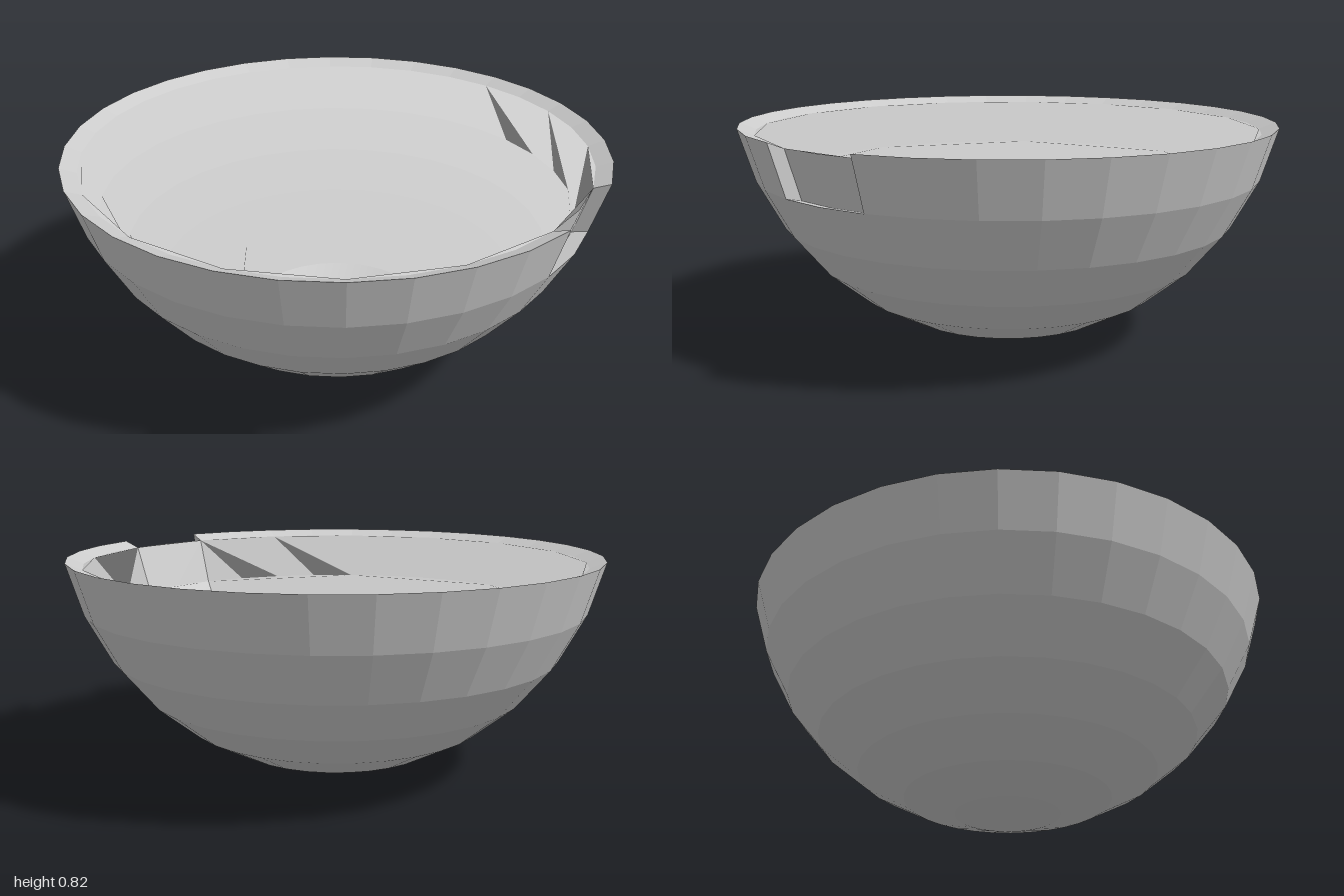
import * as THREE from 'three';

const SEG = 32, STEP = (2 * Math.PI) / SEG;      // columns around the bowl
const R = 1 / Math.sin(7 * STEP);                // sphere radius giving a rim radius of 1
const HALF = (R * (1 - Math.cos(7 * STEP))) / 2; // half the bowl's height
const INNER = 0.94;                              // inner wall is the outer one, scaled
const NOTCH_A = 1, NOTCH_B = 3;                  // columns the notch lies between

const flat = new THREE.MeshStandardMaterial({ color: 0xcccccc, flatShading: true, side: THREE.DoubleSide });
const smooth = new THREE.MeshStandardMaterial({ color: 0xcccccc, side: THREE.DoubleSide });

// profile points (radius, height) on ring k, counted up from the bottom
const outer = k => new THREE.Vector2(R * Math.sin(k * STEP), R * (1 - Math.cos(k * STEP)));
const inner = k => {
  const p = outer(k);
  return new THREE.Vector2(p.x * INNER, HALF + (p.y - HALF) * INNER);
};

function add(group, name, geometry, material) {
  const mesh = new THREE.Mesh(geometry, material);
  mesh.name = name;
  group.add(mesh);
  return mesh;
}

// lathe from column a to column b, counted from +x towards +z
function lathe(points, a, b) {
  return new THREE.LatheGeometry(points, b - a, Math.PI / 2 - b * STEP, (b - a) * STEP);
}

// one inside band between rings k and k - 1: a single many-sided face with one shared normal
function insideBand(k, a, b) {
  const points = [];
  const put = (p, j) => points.push(new THREE.Vector3(p.x * Math.cos(j * STEP), p.y, p.x * Math.sin(j * STEP)));
  for (let j = a; j <= b; j++) put(inner(k), j);
  for (let j = b; j >= a; j--) put(inner(k - 1), j);

  const contour = points.map(p => new THREE.Vector2(p.x, p.z));
  const index = [], normal = new THREE.Vector3();
  for (const [i, j, l] of THREE.ShapeUtils.triangulateShape(contour, [])) {
    const n = points[j].clone().sub(points[i]).cross(points[l].clone().sub(points[i]));
    const up = n.y > 0;
    index.push(...(up ? [i, j, l] : [i, l, j]));
    normal.addScaledVector(n, up ? 1 : -1);
  }
  normal.normalize();
  const geometry = new THREE.BufferGeometry().setFromPoints(points);
  geometry.setAttribute('normal', new THREE.Float32BufferAttribute(points.flatMap(() => normal.toArray()), 3));
  geometry.setIndex(index);
  return geometry;
}

export function createModel() {
  const group = new THREE.Group();
  group.name = 'bowl';

  // faceted outside, complete up to the notch's sill
  add(group, 'outerShell', lathe([0, 1, 2, 3, 4, 5, 6].map(outer), 0, SEG), flat);

  // top row and rim, left open at the notch
  add(group, 'rim', lathe([outer(6), outer(7), inner(7)], NOTCH_B, NOTCH_A + SEG), flat);

  // notch: sill and two cheeks
  add(group, 'notchSill', lathe([outer(6), inner(6)], NOTCH_A, NOTCH_B), flat);
  const cheek = new THREE.ShapeGeometry(new THREE.Shape([inner(6), outer(6), outer(7), inner(7)]));
  for (const j of [NOTCH_A, NOTCH_B]) {
    add(group, 'notchCheek', cheek, flat).rotation.y = -j * STEP;
  }

  // inside wall in bands, with a separate strip running down from the notch
  for (let k = 7; k > 2; k--) {
    add(group, 'innerWall', insideBand(k, NOTCH_B, NOTCH_A + SEG), smooth);
    add(group, 'innerStrip', insideBand(k, NOTCH_A, NOTCH_B), smooth);
  }

  // inside bottom
  add(group, 'innerBottom', lathe([2, 1, 0].map(inner), 0, SEG), smooth);

  return group;
}
